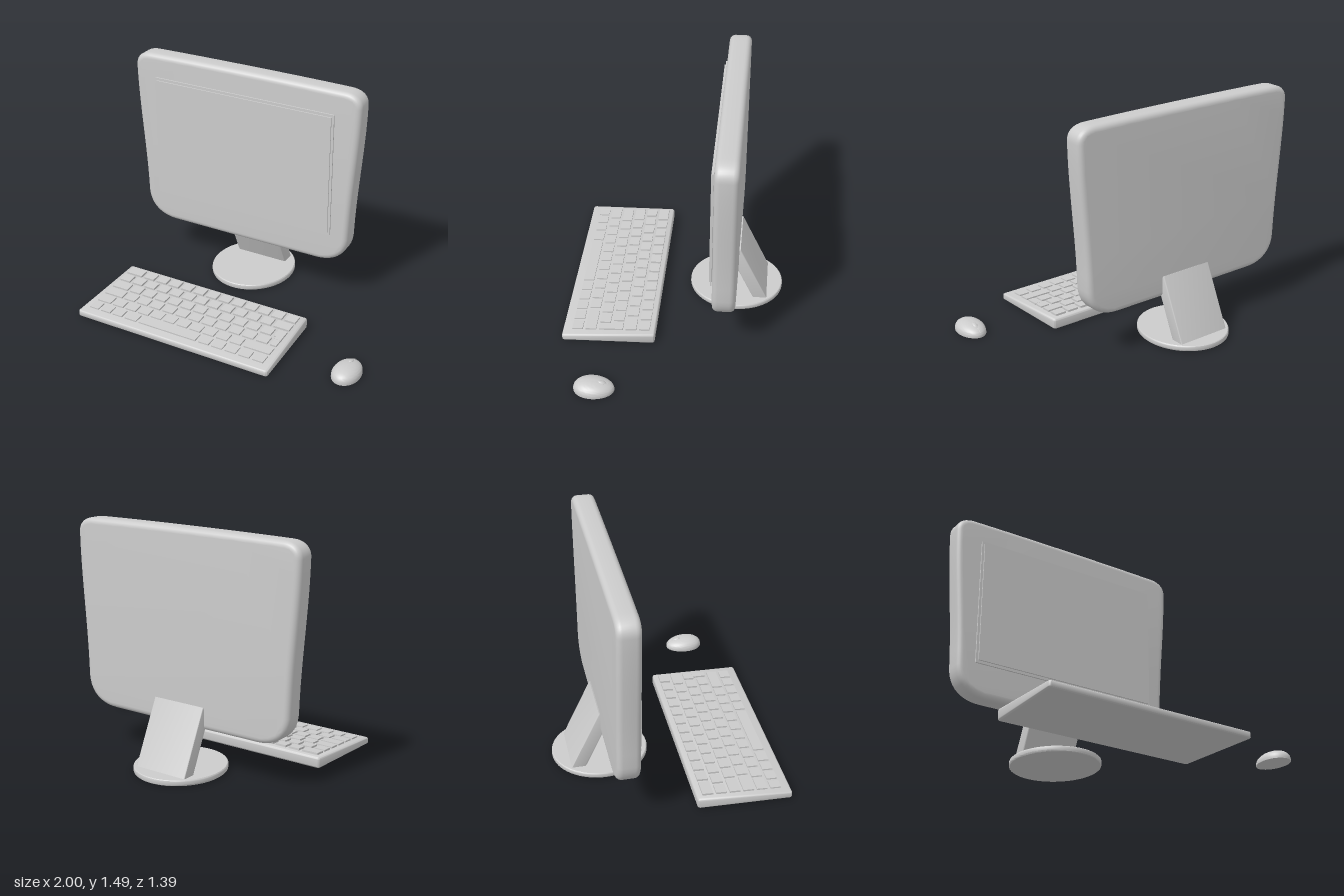
import * as THREE from 'three';
import { toCreasedNormals } from 'three/addons/utils/BufferGeometryUtils.js';
import { RoundedBoxGeometry } from 'three/addons/geometries/RoundedBoxGeometry.js';

const material = new THREE.MeshStandardMaterial({ color: 0xcccccc });

function part(parent, name, geometry, x = 0, y = 0, z = 0) {
  const mesh = new THREE.Mesh(geometry, material);
  mesh.name = name;
  mesh.position.set(x, y, z);
  parent.add(mesh);
  return mesh;
}

// Move every vertex by a rule, then smooth across soft edges only
function reshape(geometry, rule, crease = 0.6) {
  const pos = geometry.attributes.position;
  const v = new THREE.Vector3();
  for (let i = 0; i < pos.count; i++) {
    rule(v.fromBufferAttribute(pos, i));
    pos.setXYZ(i, v.x, v.y, v.z);
  }
  return toCreasedNormals(geometry, crease);
}

function bevelled(shape, length, bevel, segments) {
  const g = new THREE.ExtrudeGeometry(shape, {
    depth: length - 2 * bevel, bevelSize: bevel, bevelThickness: bevel,
    bevelOffset: -bevel, bevelSegments: segments, curveSegments: 10,
  });
  g.translate(0, 0, bevel - length / 2);
  return toCreasedNormals(g, 0.6);
}

function createMonitor() {
  const monitor = new THREE.Group();
  monitor.name = 'monitor';

  // Casing: half outline mirrored, wider at the top with waisted sides
  const half = new THREE.Path();
  half.moveTo(0, 1.492);
  half.quadraticCurveTo(0.4, 1.492, 0.7, 1.487);
  half.bezierCurveTo(0.77, 1.485, 0.815, 1.45, 0.813, 1.39);
  half.bezierCurveTo(0.81, 1.1, 0.765, 0.8, 0.758, 0.47);
  half.bezierCurveTo(0.75, 0.35, 0.66, 0.287, 0.54, 0.287);
  half.lineTo(0, 0.285);
  const right = half.getPoints(10);
  const left = right.slice(1, -1).reverse().map((p) => new THREE.Vector2(-p.x, p.y));
  const outline = new THREE.Shape([...right, ...left]);
  part(monitor, 'casing', bevelled(outline, 0.144, 0.035, 5), -0.186, 0, -0.332);

  // Screen: two thin stepped plates standing just off the casing
  part(monitor, 'screenFrame', new THREE.BoxGeometry(1.294, 0.84, 0.009), -0.188, 0.917, -0.2475);
  part(monitor, 'screenGlass', new THREE.BoxGeometry(1.262, 0.805, 0.008), -0.188, 0.917, -0.239);

  // Neck: leaning slab that runs up into the casing
  const profile = new THREE.Shape([
    new THREE.Vector2(-0.603, 0.02), new THREE.Vector2(-0.412, 0.432),
    new THREE.Vector2(-0.337, 0.395), new THREE.Vector2(-0.51, 0.02),
  ]);
  const neck = bevelled(profile, 0.368, 0.008, 3);
  neck.rotateY(-Math.PI / 2);
  part(monitor, 'neck', neck, -0.171, 0, 0);

  // Base: oval disc with softened rims
  const rim = [[0, 0], [0.98, 0], [0.995, 0.004], [1, 0.01], [1, 0.026], [0.995, 0.032], [0.98, 0.036], [0, 0.036]];
  const disc = new THREE.LatheGeometry(rim.map(([r, y]) => new THREE.Vector2(r, y)), 64);
  part(monitor, 'base', reshape(disc, (v) => { v.x *= 0.281; v.z *= 0.309; }), -0.171, 0, -0.388);
  return monitor;
}

function createKeyboard() {
  const keyboard = new THREE.Group();
  keyboard.name = 'keyboard';
  const topAt = (z) => 0.076 - (z - 0.1) * 0.053;

  // Wedge body, lower and slightly wider at the front
  const body = new RoundedBoxGeometry(1, 0.08, 0.596, 4, 0.018);
  reshape(body, () => {});
  const wedge = reshape(body, (v) => {
    const z = v.z + 0.4;
    const edge = Math.sign(v.x) * (0.5 - Math.abs(v.x));
    v.x = Math.sign(v.x) * (0.672 + (z - 0.1) * 0.034) - edge;
    v.y = ((v.y + 0.04) / 0.08) * topAt(z);
  });
  part(keyboard, 'keyboardBody', wedge, -0.187, 0, 0.4);

  // Key rows, back to front, as relative key widths
  const ones = (n) => Array(n).fill(1);
  const rows = [
    [1.4, ...ones(12)],
    [...ones(12), 1.35],
    [1.4, ...ones(11), 0.85],
    [1.55, ...ones(11), 0.65],
    [1.25, ...ones(10), 2.1],
    [0.9, 0.95, 0.95, 1.15, 4.6, ...ones(5)],
  ];
  const left = -0.825, width = 1.293, gap = 0.022;
  const tilt = Math.atan(0.053);
  rows.forEach((row, r) => {
    const z = 0.171 + r * 0.0866;
    const unit = width / row.reduce((a, b) => a + b, 0);
    let x = left;
    row.forEach((w) => {
      const key = part(keyboard, 'key', new THREE.BoxGeometry(w * unit - gap, 0.024, 0.068),
        x + (w * unit - gap) / 2, topAt(z) + 0.001 - r * 0.0008, z);
      key.rotation.x = tilt;
      x += w * unit;
    });
  });
  // Tail of the tall enter key, joining two rows
  const enter = part(keyboard, 'enterKeyTail', new THREE.BoxGeometry(0.046, 0.024, 0.03), 0.424, topAt(0.39), 0.39);
  enter.rotation.x = tilt;
  return keyboard;
}

function createMouse() {
  const mouse = new THREE.Group();
  mouse.name = 'mouse';
  mouse.position.set(0.909, 0, 0.428);

  // Shell: egg plan, flat underside, sloping down toward the buttons
  const shellHeight = (z) => 0.064 + 0.06 * z;
  const shell = reshape(new THREE.SphereGeometry(1, 40, 32), (v) => {
    const z = v.z * 0.127;
    v.x *= 0.088 * (1 + 0.06 * v.z);
    v.y = v.y > 0 ? Math.pow(v.y, 0.8) * shellHeight(z) + 0.006 : 0;
    v.z = z;
  });
  part(mouse, 'shell', shell);

  // Wheel and the seam between the buttons
  const topAt = (z) => Math.pow(1 - (z / 0.127) ** 2, 0.4) * shellHeight(z) + 0.006;
  const wheel = part(mouse, 'wheel', new THREE.SphereGeometry(1, 20, 14), 0, topAt(-0.053) - 0.002, -0.053);
  wheel.scale.set(0.015, 0.008, 0.025);
  wheel.rotation.x = -0.3;
  const seam = [-0.122, -0.113, -0.1, -0.085, -0.07].map((z) => new THREE.Vector3(0, topAt(z), z));
  part(mouse, 'buttonSeam', new THREE.TubeGeometry(new THREE.CatmullRomCurve3(seam), 16, 0.002, 6));
  return mouse;
}

export function createModel() {
  const model = new THREE.Group();
  model.name = 'desktopComputer';
  model.add(createMonitor(), createKeyboard(), createMouse());
  return model;
}
